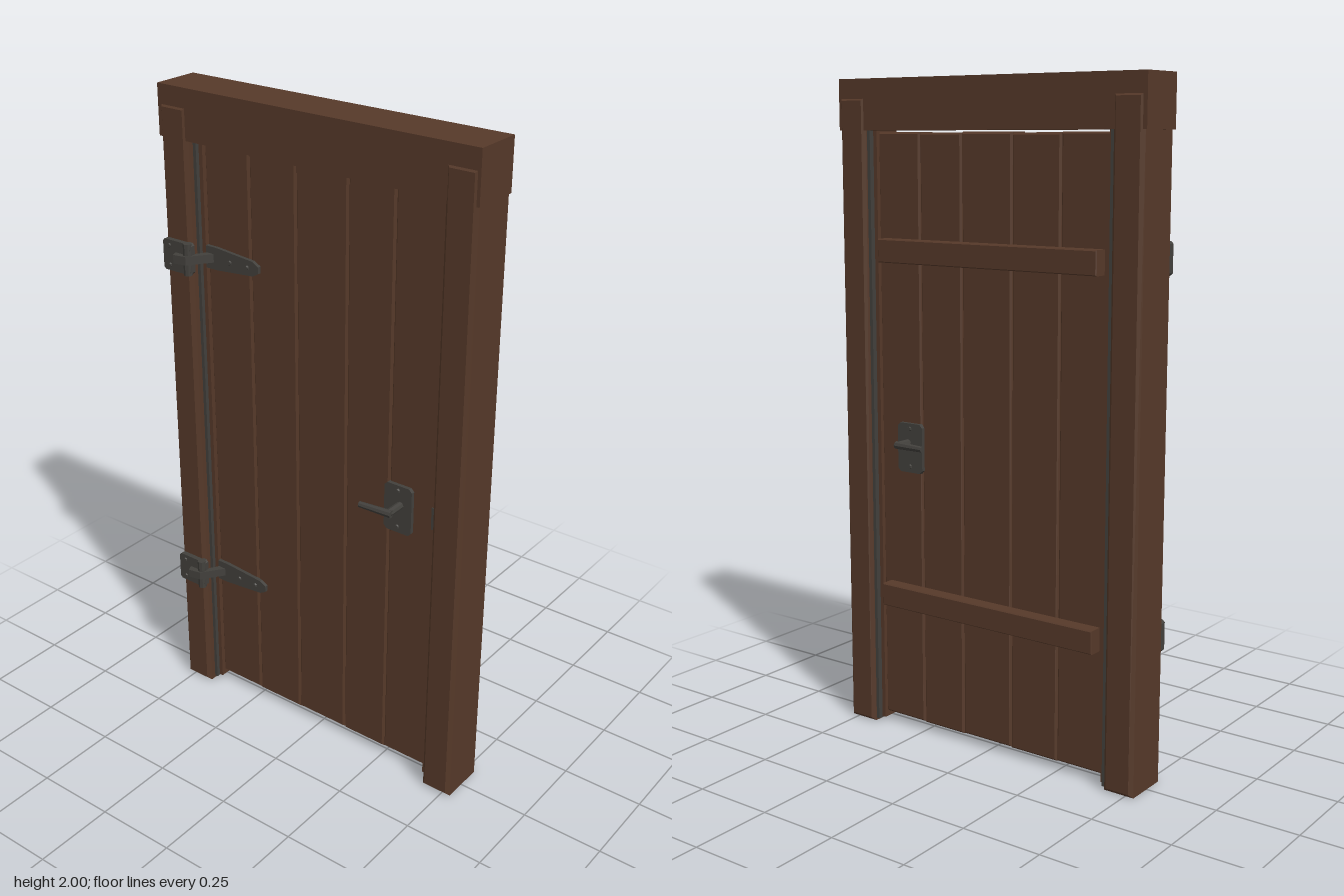
import * as THREE from 'three';

export function createModel() {
  const wood = new THREE.MeshStandardMaterial({ color: 0x563929 });
  wood.name = 'brown wood';
  const iron = new THREE.MeshStandardMaterial({ color: 0x42403c });
  iron.name = 'dark iron';
  wood.flatShading = iron.flatShading = true;

  const door = new THREE.Group();
  door.name = 'door';

  function add(name, geometry, material, x = 0, y = 0, z = 0, parent = door) {
    const mesh = new THREE.Mesh(geometry, material);
    mesh.name = name;
    mesh.position.set(x, y, z);
    parent.add(mesh);
    return mesh;
  }

  // Box given by its limits
  function box(name, material, x0, x1, y0, y1, z0, z1) {
    return add(name, new THREE.BoxGeometry(x1 - x0, y1 - y0, z1 - z0), material,
      (x0 + x1) / 2, (y0 + y1) / 2, (z0 + z1) / 2);
  }

  // Flat outline extruded along z
  function plate(points, depth) {
    const shape = new THREE.Shape(points.map(([x, y]) => new THREE.Vector2(x, y)));
    return new THREE.ExtrudeGeometry(shape, { depth, bevelEnabled: false });
  }

  // Rectangle outline with cut corners, from half width, half height and cut
  const cutRect = (w, h, c) => [
    [-w + c, -h], [w - c, -h], [w, -h + c], [w, h - c],
    [w - c, h], [-w + c, h], [-w, h - c], [-w, -h + c]];

  // Box with every edge chamfered, centred on the origin
  function chamferBox(w, h, d, c) {
    const a = w / 2 - c, b = h / 2 - c;
    const shape = new THREE.Shape([[-a, -b], [a, -b], [a, b], [-a, b]].map(([x, y]) => new THREE.Vector2(x, y)));
    const g = new THREE.ExtrudeGeometry(shape, {
      depth: d - 2 * c, bevelSize: c, bevelThickness: c, bevelSegments: 1 });
    return g.translate(0, 0, c - d / 2);
  }

  function rivet(name, x, y, z, parent) {
    const g = new THREE.CylinderGeometry(0.0056, 0.008, 0.008, 6).rotateX(Math.PI / 2);
    return add(name, g, iron, x, y, z, parent);
  }

  // Frame: lintel, posts, stops and iron edge strips
  box('lintel', wood, -0.533, 0.53, 1.851, 2, -0.079, 0.07);
  for (const s of [-1, 1]) {
    add('post', chamferBox(0.097, 1.948, 0.159, 0.011), wood, s * 0.478, 0.974, -0.0045);
    add('doorStop', new THREE.BoxGeometry(0.014, 1.84, 0.09), wood, s * 0.413, 0.931, -0.01);
    add('edgeStrip', new THREE.BoxGeometry(0.013, 1.845, 0.118), iron, s * 0.4255, 0.93, -0.012);
  }

  // Leaf: chamfered planks over a thin core
  const joints = [-0.408, -0.245, -0.08, 0.098, 0.252, 0.41];
  for (let i = 0; i < 5; i++) {
    const drop = i % 2 ? 0.002 : 0;
    add('plank', chamferBox(joints[i + 1] - joints[i] - 0.001, 1.817, 0.07, 0.006), wood,
      (joints[i] + joints[i + 1]) / 2, 0.9375 - drop, -0.01);
  }
  box('core', wood, -0.40, 0.40, 0.04, 1.83, -0.037, 0.016);

  // Cross braces on the back
  for (const y of [1.5, 0.435]) add('brace', chamferBox(0.77, 0.07, 0.046, 0.003), wood, -0.005, y, -0.066);

  // Strap hinges
  for (const y of [1.508, 0.435]) {
    const hinge = new THREE.Group();
    hinge.name = 'hinge';
    hinge.position.y = y;
    door.add(hinge);
    add('hingePlate', plate(cutRect(0.052, 0.047, 0.007), 0.021), iron, -0.47, 0, 0.07, hinge);
    for (const v of [-0.03, 0.03]) rivet('plateRivet', -0.497, v, 0.091, hinge);
    add('hingePin', new THREE.CylinderGeometry(0.013, 0.013, 0.096, 8), iron, -0.43, 0, 0.088, hinge);

    // Cranked arm from the knuckle back to the leaf, profile in x and z
    const arm = plate([[-0.475, 0.092], [-0.43, 0.084], [-0.395, 0.024], [-0.375, 0.022],
      [-0.375, 0.034], [-0.425, 0.104], [-0.465, 0.112]], 0.026);
    add('hingeArm', arm.rotateX(Math.PI / 2), iron, 0, 0.013, 0, hinge);

    add('strap', plate([[-0.405, -0.034], [-0.365, -0.034], [-0.23, -0.022], [-0.209, -0.01],
      [-0.209, 0.01], [-0.23, 0.022], [-0.365, 0.034], [-0.405, 0.034]], 0.012), iron, 0, 0, 0.024, hinge);
    for (const x of [-0.315, -0.25]) rivet('strapRivet', x, 0, 0.037, hinge);
  }

  // Handles on both faces
  for (const [s, face, out] of [[1, 0.025, 0.094], [-1, -0.045, -0.1]]) {
    const handle = new THREE.Group();
    handle.name = s > 0 ? 'frontHandle' : 'backHandle';
    handle.position.set(0.29, 0.92, 0);
    door.add(handle);
    add('handlePlate', plate(cutRect(0.047, 0.076, 0.01), 0.014), iron,
      0, -0.015, s > 0 ? face - 0.002 : face - 0.012, handle);
    for (const v of [-0.072, 0.045]) {
      rivet('plateScrew', 0, v, face + s * 0.013, handle).rotation.y = s > 0 ? 0 : Math.PI;
    }
    const length = Math.abs(out - face);
    add('spindle', new THREE.CylinderGeometry(0.012, 0.012, length, 8).rotateX(Math.PI / 2), iron,
      0.008, 0, (out + face) / 2, handle);
    // Tapered lever
    const lever = new THREE.CylinderGeometry(0.012, 0.009, 0.106, 8).rotateZ(-Math.PI / 2);
    add('lever', lever, iron, -0.035, 0, out + s * 0.003, handle).rotation.y = s * 0.07;
  }

  // Latch between leaf and frame
  box('latch', iron, 0.405, 0.422, 0.88, 0.95, -0.02, 0.038);

  return door;
}
